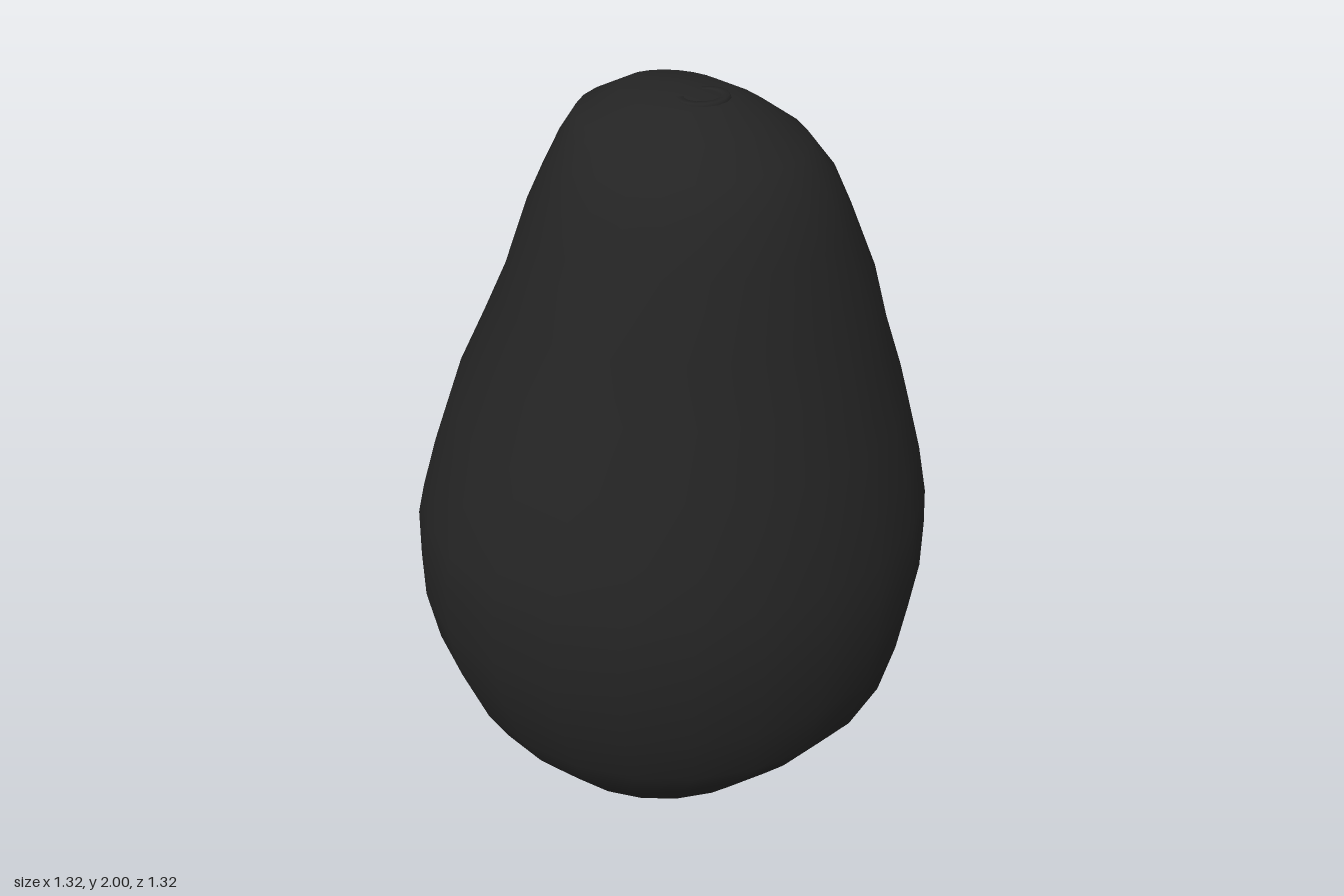
import * as THREE from 'three';

// Cross-sections from base to crown: height, reach toward -x, +x, +z, -z
const SECTIONS = [
  [0.01, -0.02, 0.14, 0.13, -0.08],
  [0.045, -0.10, 0.28, 0.27, -0.25],
  [0.12, -0.36, 0.37, 0.38, -0.38],
  [0.2, -0.45, 0.44, 0.445, -0.47],
  [0.3, -0.52, 0.52, 0.52, -0.54],
  [0.42, -0.565, 0.60, 0.58, -0.60],
  [0.58, -0.635, 0.637, 0.635, -0.64],
  [0.73, -0.66, 0.66, 0.66, -0.655],
  [0.87, -0.655, 0.66, 0.655, -0.65],
  [0.97, -0.61, 0.645, 0.645, -0.645],
  [1.1, -0.585, 0.62, 0.60, -0.615],
  [1.25, -0.53, 0.58, 0.55, -0.57],
  [1.4, -0.46, 0.53, 0.48, -0.515],
  [1.54, -0.385, 0.49, 0.43, -0.47],
  [1.71, -0.33, 0.435, 0.36, -0.395],
  [1.81, -0.275, 0.395, 0.32, -0.345],
  [1.89, -0.23, 0.335, 0.275, -0.285],
  [1.945, -0.195, 0.25, 0.22, -0.21],
  [1.985, -0.12, 0.17, 0.11, -0.13],
];
const SIDES = 24;
const STEM = [0.1, -0.03];

// Loft the lopsided cross-sections, closing both ends with a single point
function buildFruit() {
  const pos = [], index = [];
  for (const [y, xl, xr, zf, zb] of SECTIONS) {
    const cx = (xl + xr) / 2, cz = (zf + zb) / 2;
    for (let j = 0; j < SIDES; j++) {
      const a = (j / SIDES) * Math.PI * 2;
      // fuller toward the back left, slightly flatter on the other corners
      const diagonal = Math.sin(2 * a);
      const bulge = 1 - 0.02 * Math.abs(diagonal) + (a > Math.PI * 1.5 ? -0.055 * diagonal : 0);
      pos.push(cx + Math.cos(a) * bulge * (xr - xl) / 2, y, cz + Math.sin(a) * bulge * (zf - zb) / 2);
    }
  }
  const last = SECTIONS.length - 1;
  const bottom = pos.length / 3, top = bottom + 1;
  pos.push(0.06, 0, 0.02, 0.02, 2, -0.01);
  for (let j = 0; j < SIDES; j++) {
    const k = (j + 1) % SIDES;
    for (let i = 0; i < last; i++) {
      const a = i * SIDES + j, b = i * SIDES + k, c = a + SIDES, d = b + SIDES;
      index.push(a, c, b, b, c, d);
    }
    index.push(bottom, j, k);
    index.push(top, last * SIDES + k, last * SIDES + j);
  }
  const geo = new THREE.BufferGeometry();
  geo.setAttribute('position', new THREE.Float32BufferAttribute(pos, 3));
  geo.setIndex(index);
  geo.computeVertexNormals();
  return geo;
}

export function createModel() {
  const group = new THREE.Group();
  group.name = 'avocado';
  const skin = new THREE.MeshStandardMaterial({ color: 0x242424 });
  skin.name = 'dark skin';

  const fruit = new THREE.Mesh(buildFruit(), skin);
  fruit.name = 'fruitBody';
  group.add(fruit);

  // Low rim around the stem scar
  const rim = new THREE.Mesh(new THREE.TorusGeometry(0.045, 0.014, 6, 14), skin);
  rim.name = 'stemScar';
  rim.rotation.x = Math.PI / 2;
  rim.scale.y = 1.2;
  rim.position.set(STEM[0], 1.981, STEM[1]);
  group.add(rim);

  return group;
}
